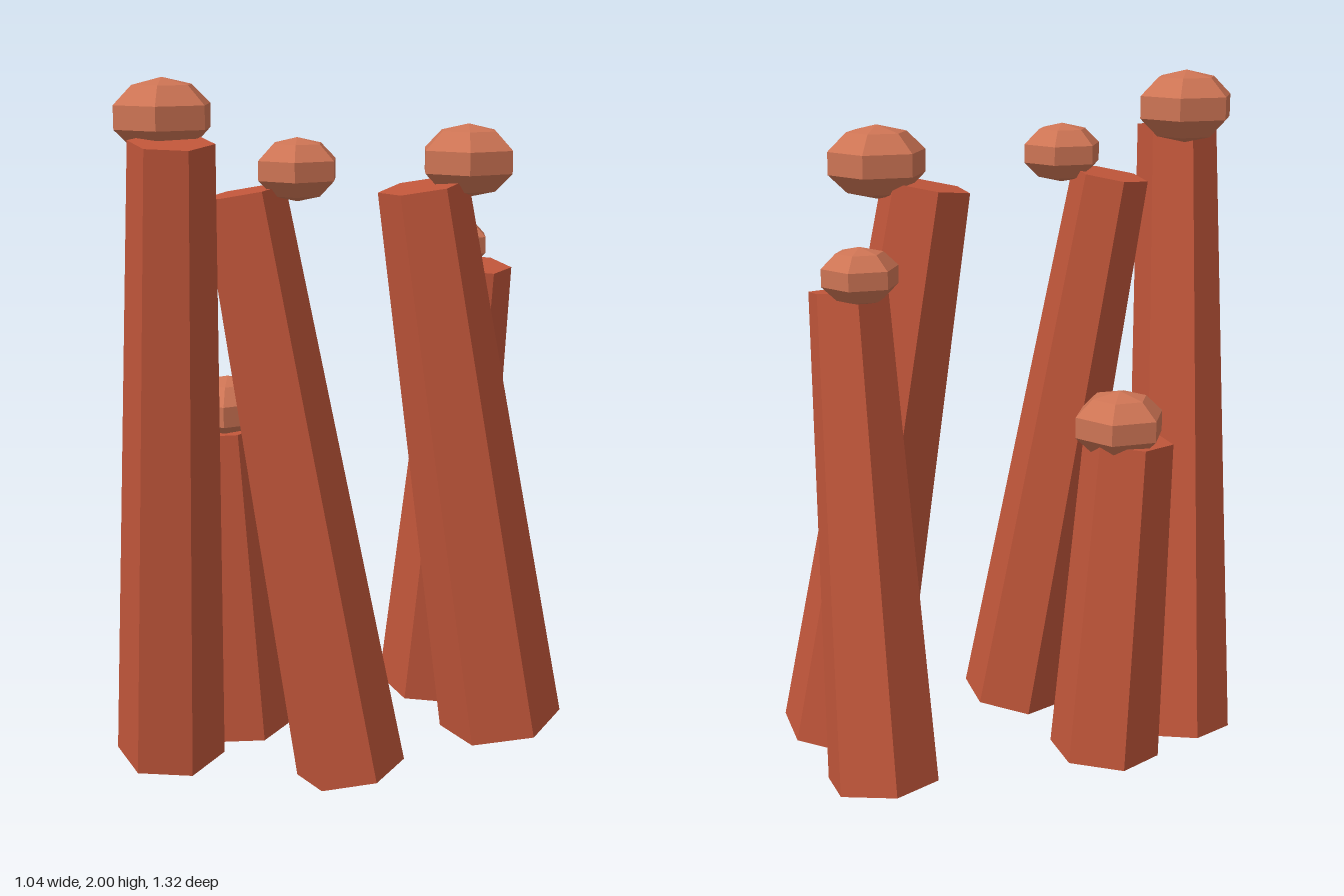
import * as THREE from 'three';

const columnMaterial = new THREE.MeshStandardMaterial({ color: 0xc1563a, flatShading: true });
columnMaterial.name = 'rust red stone';
const capMaterial = new THREE.MeshStandardMaterial({ color: 0xcd7454, flatShading: true });
capMaterial.name = 'pale terracotta';

// Each leaning column: centres of its bottom and top faces, their radii, and the cap's radius and height
const COLUMNS = [
  { base: [-0.38, 0.025, 0.38], top: [-0.2, 1.84, 0.545], rBase: 0.16, rTop: 0.116, capR: 0.147, capY: 1.9 },
  { base: [0.145, 0.03, 0.21], top: [-0.105, 1.7, 0.353], rBase: 0.158, rTop: 0.113, capR: 0.122, capY: 1.76 },
  { base: [0.355, 0.03, -0.338], top: [0.18, 1.69, -0.125], rBase: 0.188, rTop: 0.13, capR: 0.149, capY: 1.758 },
  { base: [0.02, 0.03, -0.492], top: [0.19, 1.43, -0.425], rBase: 0.165, rTop: 0.115, capR: 0.113, capY: 1.485 },
  { base: [-0.32, 0.025, 0.098], top: [-0.345, 0.98, 0.155], rBase: 0.163, rTop: 0.13, capR: 0.139, capY: 1.03 },
];

function buildColumn({ base, top, rBase, rTop, capR, capY }) {
  const group = new THREE.Group();
  const a = new THREE.Vector3(...base);
  const b = new THREE.Vector3(...top);
  const axis = b.clone().sub(a);
  const middle = a.clone().lerp(b, 0.5);

  // Tapered hexagonal shaft, tilted along its axis
  const shaft = new THREE.Mesh(new THREE.CylinderGeometry(rTop, rBase, axis.length(), 6), columnMaterial);
  shaft.name = 'shaft';
  shaft.position.copy(middle);
  shaft.quaternion.setFromUnitVectors(new THREE.Vector3(0, 1, 0), axis.normalize());

  // Flattened upright cap, floating over the middle of the shaft
  const cap = new THREE.Mesh(new THREE.SphereGeometry(capR, 6, 5), capMaterial);
  cap.name = 'cap';
  cap.scale.y = 0.7;
  cap.position.set(middle.x, capY, middle.z);

  group.add(shaft, cap);
  return group;
}

export function createModel() {
  const model = new THREE.Group();
  model.name = 'rockColumns';
  COLUMNS.forEach((spec, i) => {
    const column = buildColumn(spec);
    column.name = `column${i + 1}`;
    model.add(column);
  });
  return model;
}
